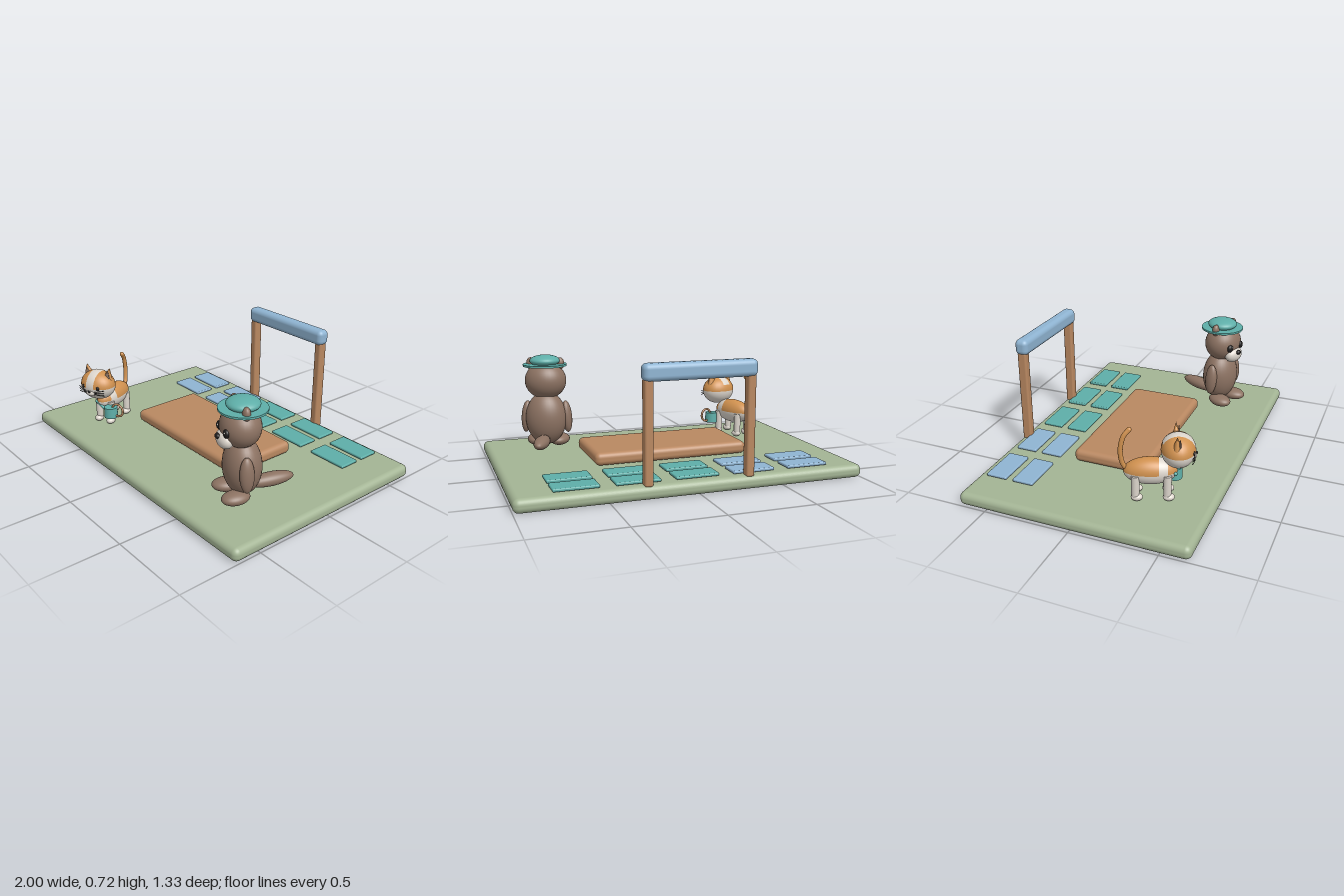
import * as THREE from 'three';
import { RoundedBoxGeometry } from 'three/addons/geometries/RoundedBoxGeometry.js';

const mat = (name, color) => {
  const m = new THREE.MeshStandardMaterial({ color });
  m.name = name;
  return m;
};
const PI = Math.PI;

export function createModel() {
  const green = mat('sage green', 0xa3b494), wood = mat('wood', 0xb98861);
  const blue = mat('soft blue', 0x8fb4d2), teal = mat('teal', 0x5eaea8);
  const brown = mat('fur brown', 0x8c7262), orange = mat('fur orange', 0xd0914f);
  const cream = mat('cream', 0xddd6cd), black = mat('black', 0x1e1c1c);

  const root = new THREE.Group();
  root.name = 'playground';

  const add = (parent, name, geo, material, p = [0, 0, 0], r = [0, 0, 0]) => {
    const m = new THREE.Mesh(geo, material);
    m.name = name;
    m.position.set(...p);
    m.rotation.set(...r);
    parent.add(m);
    return m;
  };
  const box = (name, material, size, radius, p) =>
    add(root, name, new RoundedBoxGeometry(...size, 4, radius), material, p);
  const ball = (parent, name, material, p, s, r) =>
    add(parent, name, new THREE.SphereGeometry(1, 32, 24).scale(...s), material, p, r);
  const group = (name, p, yaw) => {
    const g = new THREE.Group();
    g.name = name;
    g.position.set(...p);
    g.rotation.y = yaw;
    root.add(g);
    return g;
  };
  const tube = (parent, name, material, pts, radius) => {
    const v = pts.map(p => new THREE.Vector3(...p));
    add(parent, name, new THREE.TubeGeometry(new THREE.CatmullRomCurve3(v), 32, radius, 12), material);
    [v[0], v[v.length - 1]].forEach(e => ball(parent, name + 'End', material, e.toArray(), [radius, radius, radius]));
  };

  // Ground, raised deck and stepping tiles
  box('groundSlab', green, [2, 0.078, 1.33], 0.034, [0, 0.039, 0]);
  box('deck', wood, [0.935, 0.075, 0.455], 0.03, [0, 0.121, 0]);
  for (let i = 0; i < 5; i++)
    for (const z of [-0.548, -0.383])
      box('tile', i < 2 ? blue : teal, [0.25, 0.018, 0.125], 0.007, [(i - 2) * 0.334, 0.09, z]);

  // Archway
  for (const s of [-1, 1]) box('archPost', wood, [0.048, 0.57, 0.056], 0.012, [s * 0.291, 0.355, -0.627]);
  box('archBeam', blue, [0.645, 0.095, 0.082], 0.03, [0, 0.672, -0.627]);

  // Seated brown animal with a hat
  const otter = group('brownAnimal', [0.643, 0, 0.315], -0.36);
  ball(otter, 'body', brown, [0, 0.275, 0], [0.126, 0.165, 0.105]);
  ball(otter, 'head', brown, [0, 0.508, 0.012], [0.127, 0.115, 0.11]);
  ball(otter, 'tail', brown, [0, 0.157, -0.165], [0.045, 0.038, 0.135], [0.04, 0, 0]);
  ball(otter, 'muzzle', cream, [0, 0.445, 0.098], [0.07, 0.05, 0.045]);
  ball(otter, 'nose', black, [0, 0.468, 0.138], [0.02, 0.015, 0.014]);
  for (const s of [-1, 1]) {
    ball(otter, 'eye', black, [s * 0.053, 0.5, 0.108], [0.023, 0.025, 0.017]);
    ball(otter, 'eyeGlint', cream, [s * 0.053 + 0.007, 0.508, 0.122], [0.006, 0.006, 0.005]);
    ball(otter, 'ear', brown, [s * 0.09, 0.612, 0.016], [0.027, 0.038, 0.022]);
    ball(otter, 'arm', brown, [s * 0.125, 0.28, 0.02], [0.032, 0.1, 0.04], [0, 0, s * 0.08]);
    ball(otter, 'foot', brown, [s * 0.073, 0.127, 0.06], [0.058, 0.036, 0.082], [0, s * 0.15, 0]);
  }
  add(otter, 'hatBrim', new THREE.CylinderGeometry(0.133, 0.133, 0.012, 40), teal, [0, 0.606, 0]);
  ball(otter, 'hatCrown', teal, [0, 0.632, 0], [0.092, 0.036, 0.092]);

  // Standing orange and cream animal
  const cat = group('orangeAnimal', [-0.622, 0, 0.33], 0.38);
  const twoTone = (name, p, s) => {
    add(cat, name + 'Top', new THREE.SphereGeometry(1, 32, 14, 0, PI * 2, 0, PI / 2).scale(...s), orange, p);
    add(cat, name + 'Underside', new THREE.SphereGeometry(1, 32, 14, 0, PI * 2, PI / 2, PI / 2).scale(...s), cream, p);
  };
  const bodyAt = [0, 0.237, -0.02], bodySize = [0.068, 0.076, 0.145];
  const headAt = [0, 0.363, 0.125], headSize = [0.115, 0.092, 0.092];
  twoTone('body', bodyAt, bodySize);
  twoTone('head', headAt, headSize);
  // Thin painted bands over the back and the forehead
  const grow = s => s.map(v => v + 0.002);
  add(cat, 'backBand', new THREE.SphereGeometry(1, 24, 6, PI, PI, 0.9, 0.36).rotateX(PI / 2).scale(...grow(bodySize)), cream, bodyAt);
  add(cat, 'foreheadStripe', new THREE.SphereGeometry(1, 24, 6, PI / 2, PI * 0.85, PI / 2 - 0.24, 0.48)
    .rotateZ(PI / 2).scale(...grow(headSize)), cream, headAt);
  ball(cat, 'muzzle', cream, [0, 0.333, 0.203], [0.034, 0.022, 0.02]);
  ball(cat, 'nose', black, [0, 0.346, 0.222], [0.01, 0.007, 0.006]);
  for (const s of [-1, 1]) {
    ball(cat, 'eye', black, [s * 0.052, 0.368, 0.203], [0.012, 0.014, 0.008]);
    add(cat, 'ear', new THREE.ConeGeometry(0.036, 0.075, 20).scale(1, 1, 0.6), orange, [s * 0.078, 0.447, 0.115], [0, 0, -s * 0.25]);
    add(cat, 'innerEar', new THREE.ConeGeometry(0.022, 0.05, 16).scale(1, 1, 0.4), brown, [s * 0.078, 0.444, 0.13], [0, 0, -s * 0.25]);
    for (const k of [-1, 0, 1])
      tube(cat, 'whisker', black, [[s * 0.03, 0.338 + k * 0.006, 0.21], [s * 0.06, 0.341 + k * 0.011, 0.209],
        [s * 0.093, 0.343 + k * 0.016, 0.195]], 0.002);
    for (const z of [-0.1, 0.07]) {
      add(cat, 'leg', new THREE.CylinderGeometry(0.023, 0.021, 0.13, 20), cream, [s * 0.045, 0.165, z]);
      ball(cat, 'paw', cream, [s * 0.045, 0.1, z + 0.008], [0.026, 0.02, 0.032]);
    }
  }
  tube(cat, 'tail', orange, [[0, 0.23, -0.135], [-0.004, 0.285, -0.168], [-0.008, 0.37, -0.178],
    [-0.004, 0.445, -0.16], [0.004, 0.478, -0.132]], 0.0135);

  // Watering can
  const can = new THREE.Group();
  can.name = 'wateringCan';
  can.position.set(0.076, 0.183, 0.112);
  cat.add(can);
  add(can, 'canBody', new THREE.CylinderGeometry(0.041, 0.043, 0.066, 28), teal);
  tube(can, 'canSpout', teal, [[-0.035, 0.005, 0], [-0.07, 0.025, 0], [-0.107, 0.05, 0]], 0.01);
  add(can, 'canHandle', new THREE.TorusGeometry(0.04, 0.007, 10, 32), wood, [0.052, 0.02, 0]);

  return root;
}
